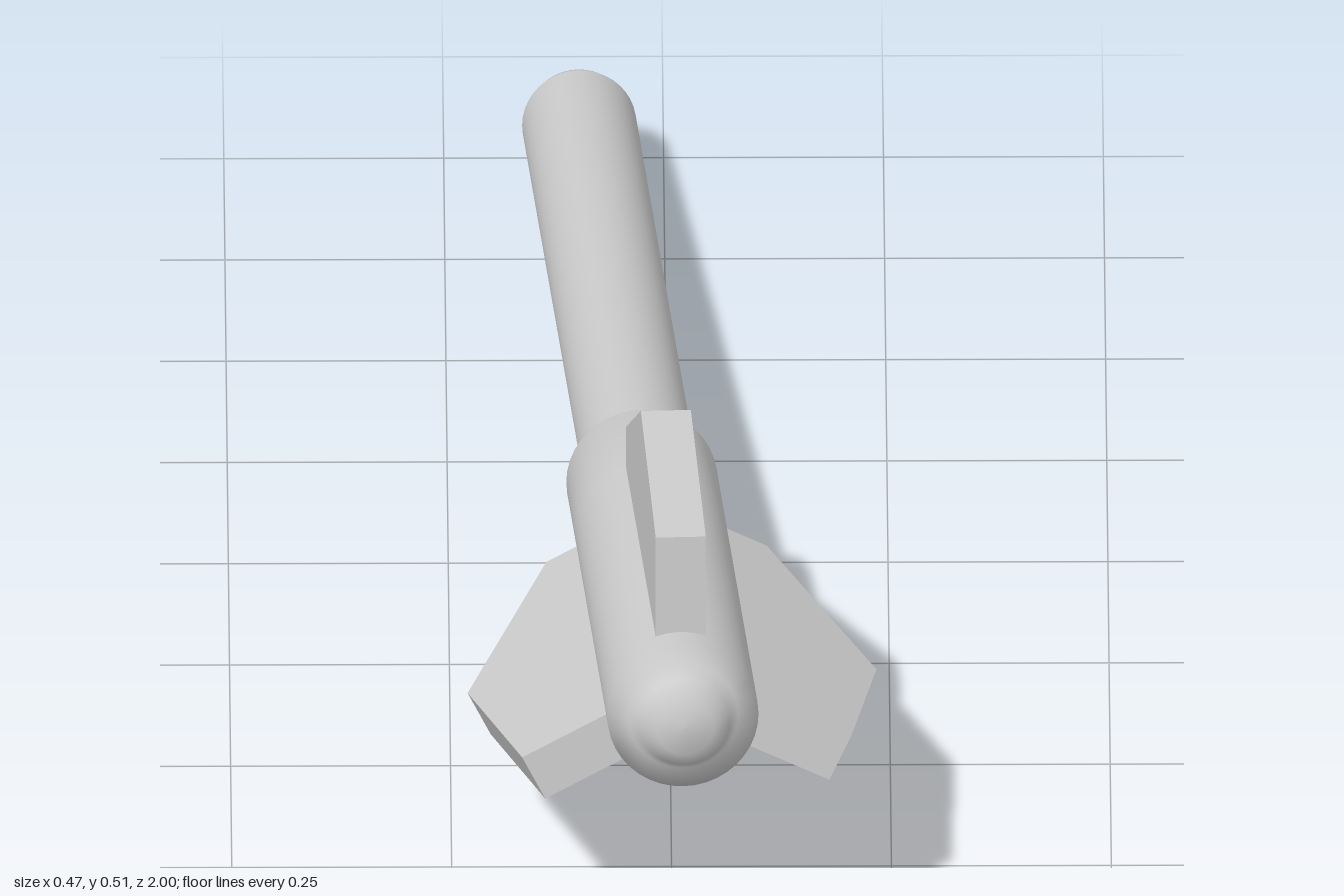
import * as THREE from 'three';

const material = new THREE.MeshStandardMaterial({ color: 0xcccccc, side: THREE.DoubleSide });

// Solid of revolution about local z, from [radius, distance along axis] pairs, rear to front
function turned(name, profile) {
  const geometry = new THREE.LatheGeometry(profile.map(([r, t]) => new THREE.Vector2(r, t)), 40);
  geometry.rotateX(Math.PI / 2);
  const mesh = new THREE.Mesh(geometry, material);
  mesh.name = name;
  return mesh;
}

// Flat fin: outline in (radius, distance along axis), turned to its angle around the axis
function fin(name, degrees, shiftOut, shiftUp) {
  const thickness = 0.057;
  const outline = [[0.03, 0.374], [0.132, 0.374], [0.252, 0.6465], [0.201, 0.923], [0.03, 0.923]];
  const shape = new THREE.Shape(outline.map(([r, t]) => new THREE.Vector2(r, t)));
  const geometry = new THREE.ExtrudeGeometry(shape, { depth: thickness, bevelEnabled: false });
  geometry.translate(shiftOut, 0, -thickness / 2);
  geometry.rotateX(Math.PI / 2);
  geometry.rotateZ(THREE.MathUtils.degToRad(degrees));
  geometry.translate(0, shiftUp, 0);
  const mesh = new THREE.Mesh(geometry, material);
  mesh.name = name;
  return mesh;
}

export function createModel() {
  const model = new THREE.Group();
  model.name = 'finnedRod';

  // Long handle with a rounded rear end
  model.add(turned('rod', [
    [0, -1.003], [0.043, -1.003], [0.058, -0.99], [0.065, -0.968], [0.065, 0.25],
  ]));

  // Wider head with a stepped blunt nose
  model.add(turned('head', [
    [0.06, 0.197], [0.086, 0.197], [0.086, 0.374], [0.086, 0.964],
    [0.063, 0.966], [0.052, 0.985], [0.033, 1.004], [0, 1.006],
  ]));

  // Three fins around the head
  model.add(
    fin('topFin', 90, 0, 0),
    fin('leftFin', -25.5, 0, 0.015),
    fin('rightFin', 207.5, -0.012, 0),
  );

  // Tilt of the whole piece: nose raised and swung slightly to the side
  const axis = new THREE.Vector3(0.0565, 0.123, 1).normalize();
  const up = new THREE.Vector3(0, 1, -0.123).normalize();
  const side = new THREE.Vector3().crossVectors(up, axis);
  model.quaternion.setFromRotationMatrix(new THREE.Matrix4().makeBasis(side, up, axis));
  model.position.set(-0.042, 0.188, 0);

  const root = new THREE.Group();
  root.add(model);
  return root;
}
